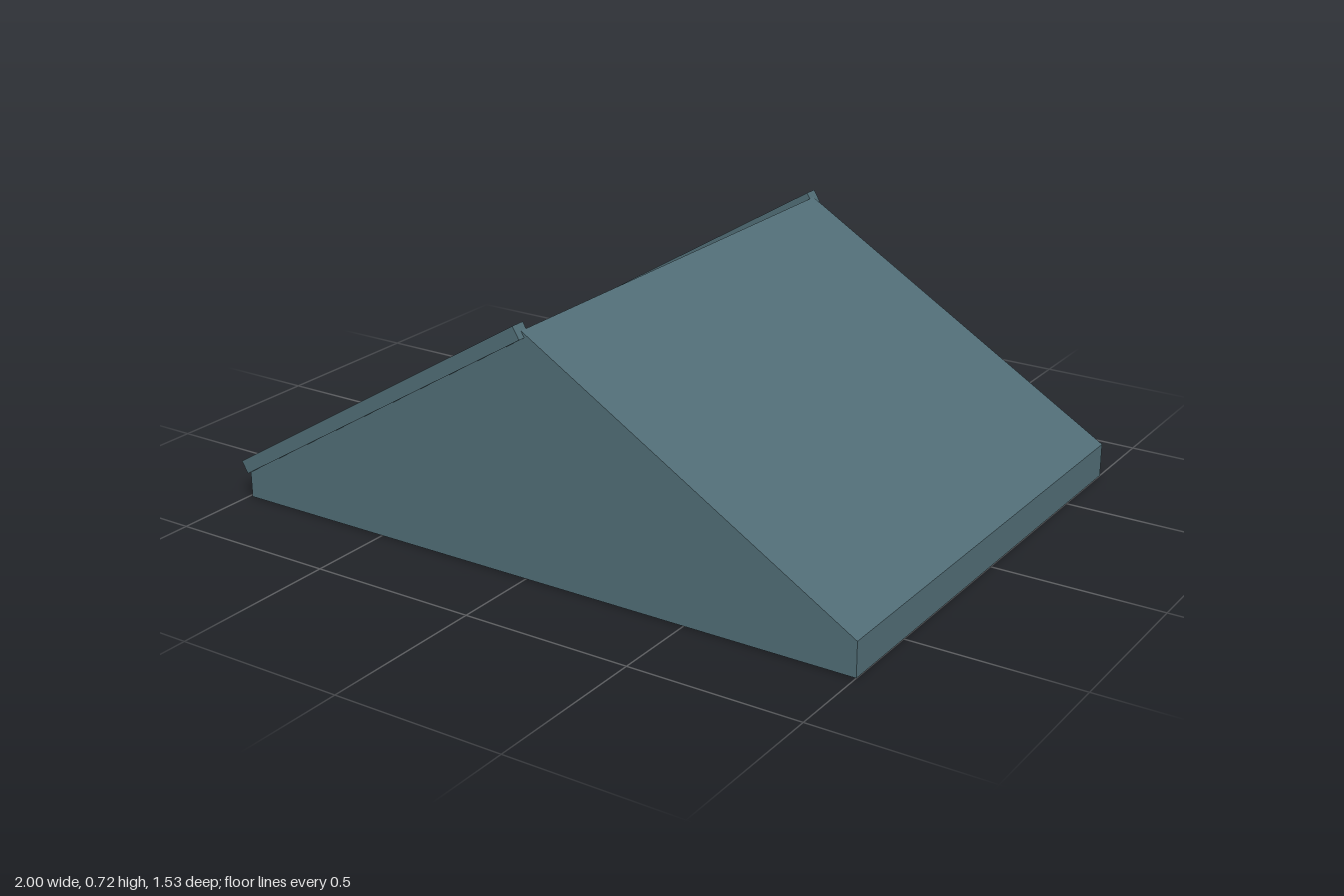
import * as THREE from 'three';

export function createModel() {
  const group = new THREE.Group();
  const slate = new THREE.MeshStandardMaterial({ color: 0x506c75 });
  slate.name = 'slate';

  // Gabled roof body: low eaves rising to a central ridge
  const left = -0.99, right = 1, eave = 0.1, ridge = 0.7, depth = 1.49;
  const mid = (left + right) / 2;
  const gable = new THREE.Shape();
  gable.moveTo(left, 0);
  gable.lineTo(right, 0);
  gable.lineTo(right, eave);
  gable.lineTo(mid, ridge);
  gable.lineTo(left, eave);
  gable.closePath();
  const roofGeometry = new THREE.ExtrudeGeometry(gable, { depth, bevelEnabled: false });
  roofGeometry.translate(0, 0, -depth / 2);
  const roof = new THREE.Mesh(roofGeometry, slate);
  roof.name = 'roof';
  group.add(roof);

  // Edge boards along the right-hand slope, one on each gable
  const run = mid - left, rise = ridge - eave;
  for (const side of [1, -1]) {
    const board = new THREE.Mesh(
      new THREE.BoxGeometry(Math.hypot(run, rise), 0.04, 0.044), slate);
    board.name = side > 0 ? 'frontEdgeBoard' : 'backEdgeBoard';
    board.position.set((left + mid) / 2, (eave + ridge) / 2, side * 0.745);
    board.rotation.z = Math.atan2(rise, run);
    group.add(board);
  }
  return group;
}
